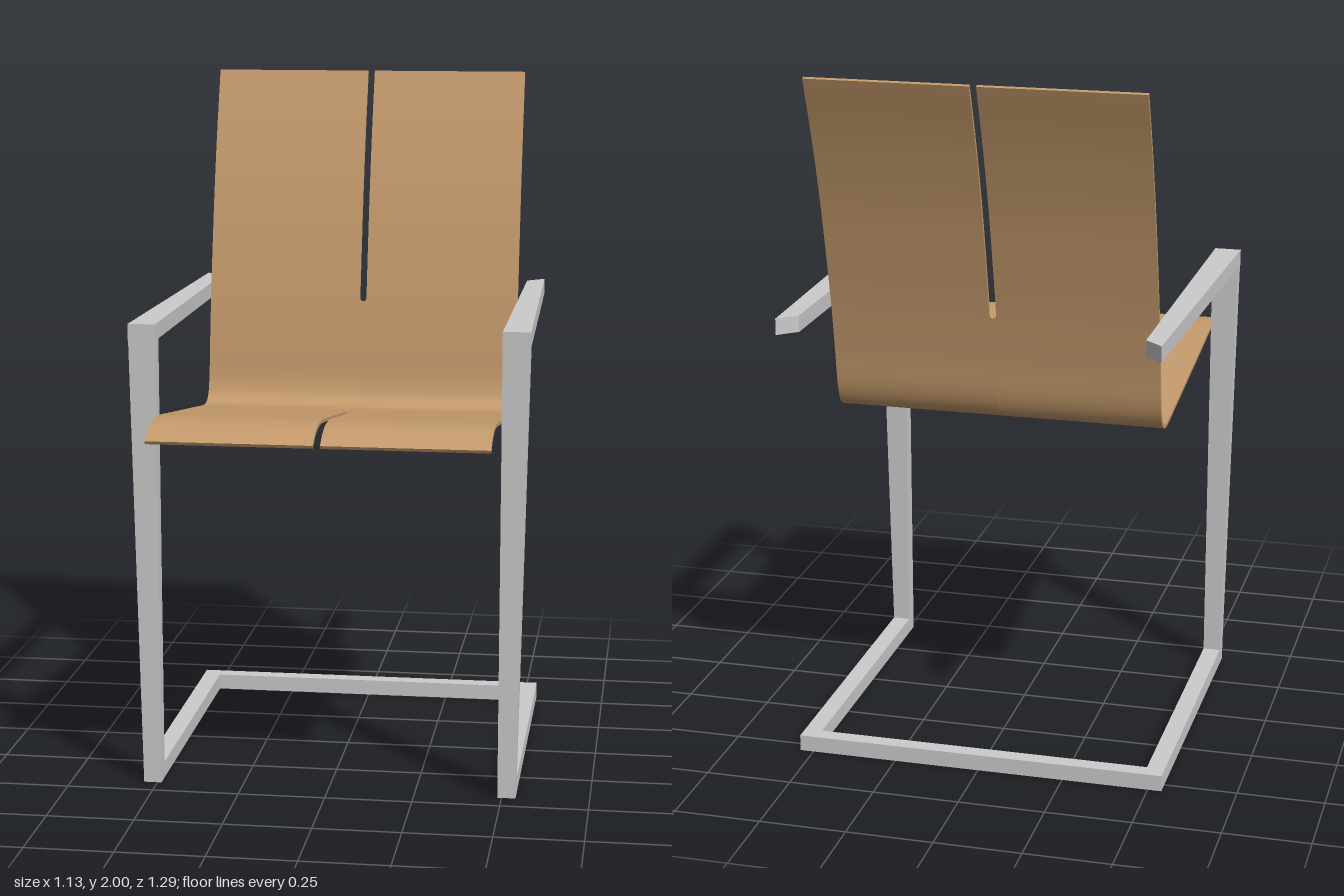
import * as THREE from 'three';
import { toCreasedNormals } from 'three/addons/utils/BufferGeometryUtils.js';

const HALF_WIDTH = 0.476, HALF_THICK = 0.005, SLIT = 0.01;

// Side profile of the bent shell as [z, y], from seat front to top of back
const PROFILE = [
  [0.643, 1.05], [0.6, 1.073], [0.55, 1.086], [0.5, 1.089], [0.43, 1.083], [0.3, 1.064],
  [0.1, 1.035], [-0.1, 1.006], [-0.2, 0.992], [-0.25, 0.991], [-0.288, 1.01], [-0.309, 1.055],
  [-0.328, 1.17], [-0.354, 1.32], [-0.39, 1.48], [-0.43, 1.64], [-0.485, 1.82], [-0.55, 1.998],
];

// One half of the shell: a thin rectangle swept along the profile, leaving the slits free
function shellHalf(side) {
  const curve = new THREE.CatmullRomCurve3(PROFILE.map(([z, y]) => new THREE.Vector3(0, y, z)));
  curve.arcLengthDivisions = 1000;
  const length = curve.getLength();
  const find = (test) => {
    let t = 0;
    while (t < 1 && !test(curve.getPointAt(t))) t += 0.001;
    return t * length;
  };
  const seatEnd = find((p) => p.z < 0.04 - 0.08);
  const backEnd = find((p) => p.y > 1.305);

  // Even rows, plus finer ones around the rounded slit ends
  const rows = [];
  for (let i = 0; i <= 120; i++) rows.push((i / 120) * length);
  for (let i = 0; i <= 8; i++) {
    const d = SLIT * Math.sin((i / 8) * Math.PI / 2);
    rows.push(seatEnd - SLIT + d, backEnd + SLIT - d);
  }
  rows.sort((a, b) => a - b);

  const slitHalfWidth = (s) => {
    const depth = Math.max(seatEnd - s, s - backEnd);
    if (depth <= 1e-6) return 0;
    if (depth >= SLIT) return SLIT;
    return Math.sqrt(SLIT * SLIT - (SLIT - depth) ** 2);
  };

  const pos = [], index = [];
  const inner = rows.map(slitHalfWidth);
  rows.forEach((s, i) => {
    const t = Math.min(s / length, 1);
    const p = curve.getPointAt(t), d = curve.getTangentAt(t);
    const ny = -d.z * HALF_THICK, nz = d.y * HALF_THICK;
    const [a, b] = side > 0 ? [inner[i], HALF_WIDTH] : [-HALF_WIDTH, -inner[i]];
    pos.push(a, p.y + ny, p.z + nz, b, p.y + ny, p.z + nz);
    pos.push(b, p.y - ny, p.z - nz, a, p.y - ny, p.z - nz);
  });
  const innerWall = side > 0 ? 3 : 1;
  for (let i = 0; i < rows.length - 1; i++) {
    for (let j = 0; j < 4; j++) {
      // No wall where the two halves meet
      if (j === innerWall && inner[i] === 0 && inner[i + 1] === 0) continue;
      const k = (j + 1) % 4, r = i * 4, n = r + 4;
      index.push(r + j, r + k, n + k, r + j, n + k, n + j);
    }
  }
  const e = (rows.length - 1) * 4;
  index.push(0, 3, 2, 0, 2, 1, e, e + 1, e + 2, e, e + 2, e + 3);

  const g = new THREE.BufferGeometry();
  g.setAttribute('position', new THREE.Float32BufferAttribute(pos, 3));
  g.setIndex(index);
  return toCreasedNormals(g, 0.6);
}

// Square bar whose box corners are placed by a rule (corner signs -> position)
function bar(rule) {
  const g = new THREE.BoxGeometry(2, 2, 2);
  const p = g.attributes.position;
  for (let i = 0; i < p.count; i++) p.setXYZ(i, ...rule(p.getX(i), p.getY(i), p.getZ(i)));
  g.computeVertexNormals();
  return g;
}

export function createModel() {
  const model = new THREE.Group();
  model.name = 'cantileverChair';
  const wood = new THREE.MeshStandardMaterial({ color: 0xc49a6c });
  const metal = new THREE.MeshStandardMaterial({ color: 0xcccccc });
  const add = (name, geometry, material) => {
    const mesh = new THREE.Mesh(geometry, material);
    mesh.name = name;
    model.add(mesh);
  };

  const IN = 0.488, LOW = 0.54, HIGH = 0.566, TUBE = 0.047;
  const TOP = 1.345, FRONT = 0.433, REAR = -0.542, ARM_REAR = -0.645;

  for (const [side, label] of [[1, 'left'], [-1, 'right']]) {
    add(label + 'Shell', shellHalf(side), wood);

    // Floor runner
    add(label + 'Runner', bar((x, y, z) => [
      side * (x * side > 0 ? LOW : IN), y > 0 ? TUBE : 0, z > 0 ? FRONT : REAR]), metal);

    // Front leg, widening upwards to the armrest
    add(label + 'Leg', bar((x, y, z) => {
      const outer = y > 0 ? HIGH - 0.001 : LOW;
      return [side * (x * side > 0 ? outer : IN), y > 0 ? TOP - TUBE : TUBE, z > 0 ? FRONT : FRONT - TUBE];
    }), metal);

    // Armrest, tapering to a mitred rear end
    add(label + 'Armrest', bar((x, y, z) => {
      const isOuter = x * side > 0;
      const outer = z > 0 ? HIGH : LOW;
      const rear = isOuter ? ARM_REAR : ARM_REAR + TUBE;
      return [side * (isOuter ? outer : IN), y > 0 ? TOP : TOP - TUBE, z > 0 ? FRONT : rear];
    }), metal);
  }

  // Rear floor bar joining the runners
  add('rearFloorBar', bar((x, y, z) => [
    Math.sign(x) * IN, y > 0 ? TUBE : 0, z > 0 ? REAR + TUBE : REAR]), metal);

  return model;
}
